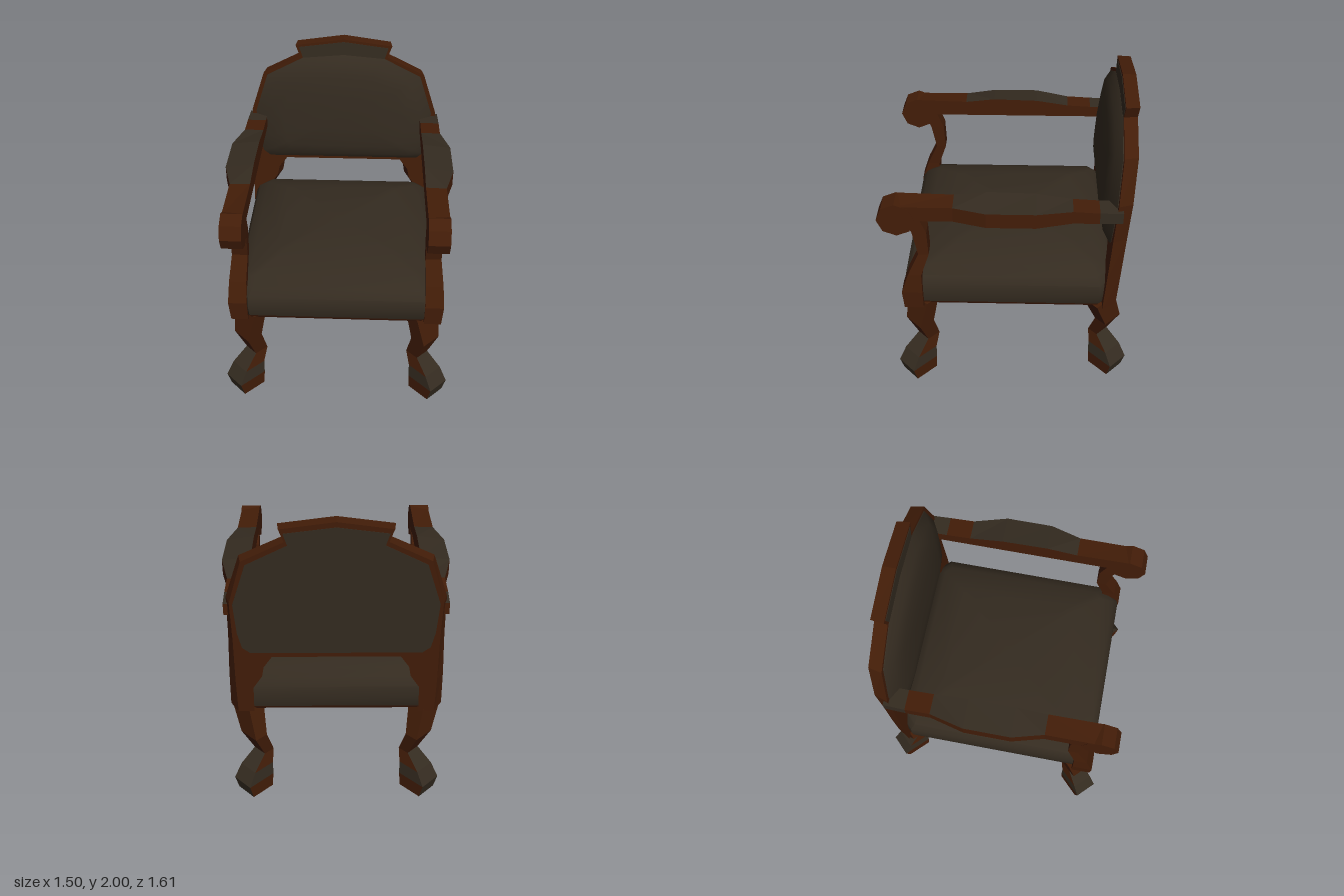
import * as THREE from 'three';
import { toCreasedNormals } from 'three/addons/utils/BufferGeometryUtils.js';

const wood = new THREE.MeshStandardMaterial({ color: 0x431d08 });
wood.name = 'wood';
const fabric = new THREE.MeshStandardMaterial({ color: 0x342b20 });
fabric.name = 'fabric';
const WOOD = 0, FABRIC = 1;

// Closed solid through rings of [x, y, z] points; pick(segment, side) chooses the material.
// Segment -1 is the first cap, segment rings.length - 1 the last. Edges above the crease angle stay sharp.
function loft(name, rings, pick = () => WOOD, crease = 0) {
  const tris = [[], []];
  let volume = 0;
  const add = (m, ...p) => {
    const [a, b, c] = p.map(q => new THREE.Vector3(...q));
    volume += a.dot(b.clone().cross(c));
    tris[m].push([a, b, c]);
  };
  const n = rings[0].length, last = rings.length - 1;
  const centre = r => [0, 1, 2].map(k => r.reduce((s, p) => s + p[k], 0) / n);
  for (let j = 0; j < n; j++) {
    const k = (j + 1) % n;
    for (let i = 0; i < last; i++) {
      const a = rings[i], b = rings[i + 1], m = pick(i, j);
      add(m, a[j], a[k], b[k]);
      add(m, a[j], b[k], b[j]);
    }
    add(pick(-1, j), centre(rings[0]), rings[0][k], rings[0][j]);
    add(pick(last, j), centre(rings[last]), rings[last][j], rings[last][k]);
  }
  let geo = new THREE.BufferGeometry();
  const pts = [];
  tris.forEach((list, m) => {
    geo.addGroup(pts.length, list.length * 3, m);
    for (const [a, b, c] of list) pts.push(...(volume > 0 ? [a, b, c] : [a, c, b]));
  });
  geo.setFromPoints(pts);
  geo.computeVertexNormals();
  if (crease) geo = toCreasedNormals(geo, crease);
  const mesh = new THREE.Mesh(geo, [wood, fabric]);
  mesh.name = name;
  return mesh;
}

// Completes a half outline [x, y]; a first point on the centre line is not repeated
const mirrored = half => [...half, ...half.slice(half[0][0] === 0 ? 1 : 0).reverse().map(([x, y]) => [-x, y])];

// Leaning front and rear planes of the back
const backFront = y => -0.6 - (y - 0.65) * 0.06;
const backRear = y => -0.69 - (y - 0.65) * 0.055;

// Cabriole leg, turned 45 degrees: y, inner and outer distance, half width
const frontLegRows = [
  [0, 0.57, 0.69, 0.053], [0.1, 0.565, 0.71, 0.055], [0.19, 0.56, 0.67, 0.05], [0.28, 0.525, 0.595, 0.036],
  [0.45, 0.565, 0.645, 0.052], [0.66, 0.545, 0.612, 0.072],
];
const backLegRows = [
  [0, 0.605, 0.725, 0.053], [0.1, 0.6, 0.745, 0.055], [0.19, 0.595, 0.705, 0.05], [0.28, 0.575, 0.63, 0.036],
  [0.45, 0.625, 0.69, 0.052], [0.66, 0.545, 0.63, 0.062],
];
function leg(name, rows, sx, sz, shift) {
  const rings = rows.map(([y, a, b, h]) => {
    // The back legs stand further in than they stand out; the offset fades at the top
    const dx = y > 0.6 ? -0.013 : shift;
    const corner = (d, s) => [sx * (d + dx + s * h), y, sz * (d - s * h)];
    return [corner(a, -1), corner(b, -1), corner(b, 1), corner(a, 1)];
  });
  return loft(name, rings, (i, j) => ((j === 1 && i >= 0 && i <= 2) || (i === 1 && j !== 3) ? FABRIC : WOOD));
}

// Arm support: y, x range, z range
const postRows = [
  [0.64, 0.57, 0.68, 0.56, 0.685], [0.78, 0.57, 0.69, 0.56, 0.692], [0.92, 0.57, 0.68, 0.56, 0.645],
  [1.08, 0.56, 0.66, 0.505, 0.57], [1.25, 0.555, 0.657, 0.51, 0.6], [1.38, 0.555, 0.655, 0.56, 0.65],
];

// Armrest: z, outer x, top y
const armRows = [
  [0.69, 0.68, 1.476], [0.34, 0.68, 1.466], [0.14, 0.735, 1.49], [-0.16, 0.735, 1.482],
  [-0.38, 0.68, 1.447], [-0.54, 0.68, 1.438], [-0.68, 0.675, 1.436],
];

// Seat: hollow underside, wooden lower edge, domed cushion (y, half x, front z, back z, corner cut)
const seatRows = [
  [0.77, 0.53, 0.55, -0.53, 0.02], [0.65, 0.53, 0.55, -0.53, 0.02], [0.65, 0.64, 0.67, -0.655, 0.09],
  [0.672, 0.65, 0.68, -0.665, 0.09], [0.75, 0.655, 0.688, -0.67, 0.09], [0.82, 0.65, 0.68, -0.665, 0.09],
  [0.875, 0.625, 0.645, -0.64, 0.09], [0.912, 0.56, 0.56, -0.58, 0.04], [0.975, 0.38, 0.37, -0.4, 0.03],
];

export function createModel() {
  const chair = new THREE.Group();
  chair.name = 'armchair';

  for (const sx of [1, -1]) {
    const side = sx > 0 ? 'left' : 'right';
    chair.add(leg(side + 'FrontLeg', frontLegRows, sx, 1, -0.013), leg(side + 'BackLeg', backLegRows, sx, -1, -0.12));

    chair.add(loft(side + 'ArmSupport', postRows.map(([y, x0, x1, z0, z1]) =>
      [[x0, z0], [x1, z0], [x1, z1], [x0, z1]].map(([x, z]) => [sx * x, y, z]))));

    // Armrest with upholstered top and rear end
    chair.add(loft(side + 'Armrest', armRows.map(([z, x, y]) => [
      [sx * 0.55, 1.36, z], [sx * x, 1.36, z], [sx * x, Math.min(y, 1.462), z], [sx * 0.55, y, z],
    ]), (i, j) => ((j === 2 && i >= 1 && i <= 3) || (i === 5 && (j === 1 || j === 2)) ? FABRIC : WOOD)));

    // Octagonal scroll at the end of the arm
    const scrollGeo = new THREE.CylinderGeometry(0.116, 0.116, 0.132, 8).toNonIndexed();
    scrollGeo.rotateZ(Math.PI / 2);
    scrollGeo.computeVertexNormals();
    const scroll = new THREE.Mesh(scrollGeo, wood);
    scroll.name = side + 'ArmScroll';
    scroll.position.set(sx * 0.616, 1.363, 0.689);
    chair.add(scroll);
  }

  // Seat with its corners cut to sit between the posts
  chair.add(loft('seat', seatRows.map(([y, x, f, b, c]) => [
    [-x + c, y, f], [x - c, y, f], [x, y, f - c], [x, y, b + c],
    [x - c, y, b], [-x + c, y, b], [-x, y, b + c], [-x, y, f - c],
  ]), i => (i === -1 || i === 1 || i === 2 ? WOOD : FABRIC), 0.7));

  // Back frame with rear posts, leaning backwards and narrowing to the rear
  const outline = mirrored([
    [0, 2], [0.335, 1.955], [0.305, 1.875], [0.565, 1.75], [0.658, 1.47], [0.662, 1.2], [0.675, 0.9],
    [0.68, 0.65], [0.57, 0.65], [0.56, 0.84], [0.495, 0.93], [0.48, 1.0], [0.42, 1.08],
  ]);
  const frameGeo = new THREE.ExtrudeGeometry(new THREE.Shape(outline.map(p => new THREE.Vector2(...p))),
    { depth: 1, bevelEnabled: false }).toNonIndexed();
  const pos = frameGeo.attributes.position;
  for (let i = 0; i < pos.count; i++) {
    const y = pos.getY(i), front = pos.getZ(i) > 0.5;
    pos.setZ(i, front ? backFront(y) : backRear(y));
    if (!front) pos.setX(i, pos.getX(i) * (0.97 - 0.05 * Math.max(0, 1.7 - y)));
  }
  frameGeo.computeVertexNormals();
  const frame = new THREE.Mesh(frameGeo, wood);
  frame.name = 'backFrame';
  chair.add(frame);

  // Back upholstery: padded front, flat crest panel and flat rear panel
  const lower = [[0.54, 1.735], [0.63, 1.46], [0.615, 1.25], [0.59, 1.14], [0.54, 1.1]];
  const crest = [[0, 1.982], [0.31, 1.942], [0.285, 1.865]];
  const ring = (half, scale, plane, offset) => mirrored(half).map(([x, y]) => {
    const v = 1.48 + (y - 1.48) * scale;
    return [x * scale, v, plane(v) + offset];
  });
  const pad = [[0, 1.89], [0.285, 1.865], ...lower];
  chair.add(loft('backCushion', [
    ring(pad, 1, backFront, -0.01), ring(pad, 1, backFront, 0.004), ring(pad, 0.88, backFront, 0.045),
    ring(pad, 0.68, backFront, 0.07), ring(pad, 0.35, backFront, 0.082),
  ], () => FABRIC, 0.7));
  const panels = [['crestPanel', backFront, 1], ['rearBackPanel', backRear, 0.97]];
  for (const [name, plane, scale] of panels) {
    const half = [...crest, ...lower];
    chair.add(loft(name, [ring(half, scale, plane, 0.003), ring(half, scale, plane, -0.003)], () => FABRIC));
  }

  return chair;
}
